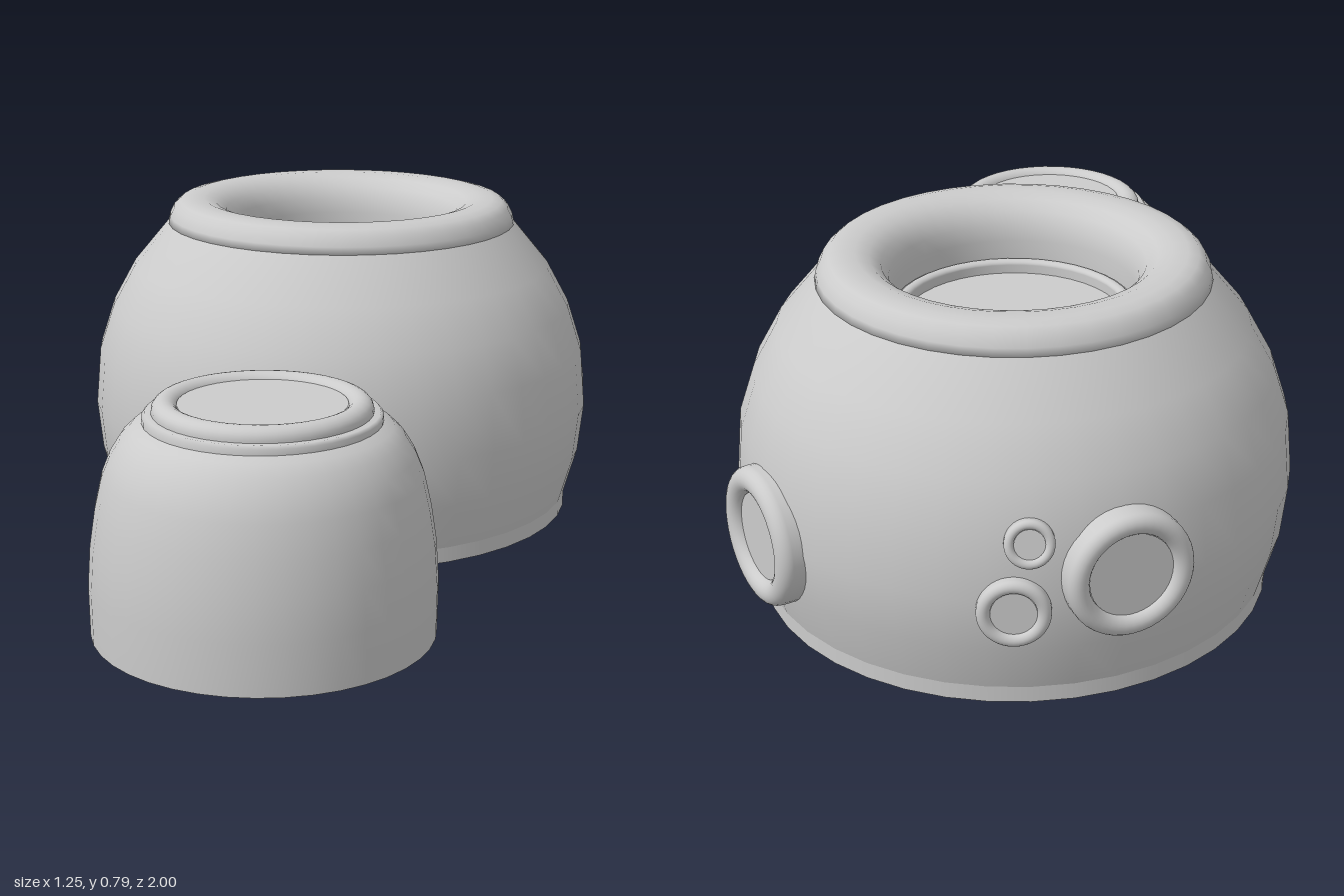
import * as THREE from 'three';

const material = new THREE.MeshStandardMaterial({ color: 0xcccccc, side: THREE.DoubleSide });

function add(parent, name, geometry) {
  const mesh = new THREE.Mesh(geometry, material);
  mesh.name = name;
  parent.add(mesh);
  return mesh;
}

// Turned part from [radius, height] pairs, listed from the outside bottom up
function turned(points, sides = 40) {
  return new THREE.LatheGeometry(points.map(([r, y]) => new THREE.Vector2(r, y)), sides);
}

// Horizontal disc facing up or down
function disc(radius, y, up = true) {
  return new THREE.CircleGeometry(radius, 40).rotateX(up ? -Math.PI / 2 : Math.PI / 2).translate(0, y, 0);
}

// Half-round rim between two radii with straight skirts down to the given heights
function rim(outer, inner, top, height, outerBottom, innerBottom, steps = 12) {
  const mid = (outer + inner) / 2, half = (outer - inner) / 2;
  const points = [[outer, outerBottom]];
  for (let i = 0; i <= steps; i++) {
    const a = Math.PI * i / steps;
    points.push([mid + half * Math.cos(a), top - height + height * Math.sin(a)]);
  }
  points.push([inner, innerBottom]);
  return turned(points);
}

// Round rimmed window on the main dome; "reach" is the distance of its outer face from the axis
function porthole(dome, name, x, z, y, outer, inner, reach, tilt = 0) {
  const group = new THREE.Group();
  group.name = name;
  const round = (outer - inner) / 2;
  add(group, 'windowRim', rim(outer, inner, 0, round, -0.12, -0.06).rotateX(Math.PI / 2));
  add(group, 'windowPane', disc(inner, -round * 0.75).rotateX(Math.PI / 2));
  const d = Math.hypot(x, z);
  group.position.set(x / d * reach, y, z / d * reach);
  group.rotation.set(-tilt, Math.atan2(x, z), 0, 'YXZ');
  dome.add(group);
}

export function createModel() {
  const model = new THREE.Group();
  model.name = 'domeHabitat';

  // Main dome
  const dome = new THREE.Group();
  dome.name = 'mainDome';
  dome.position.z = -0.355;
  model.add(dome);
  add(dome, 'domeFloor', disc(0.58, 0, false));
  add(dome, 'domeFoot', turned([[0.58, 0], [0.58, 0.037]]));
  add(dome, 'domeWall', turned([[0.58, 0.037], [0.612, 0.15], [0.625, 0.27], [0.613, 0.41],
    [0.577, 0.52], [0.522, 0.62], [0.432, 0.728]]));

  // Rolled rim around the sunken skylight
  add(dome, 'skylightRim', turned([[0.42, 0.725], [0.435, 0.725], [0.431, 0.743], [0.42, 0.765], [0.404, 0.779],
    [0.38, 0.785], [0.345, 0.785], [0.315, 0.775], [0.29, 0.755], [0.274, 0.725], [0.268, 0.69], [0.268, 0.645]]));
  add(dome, 'skylightLip', rim(0.268, 0.242, 0.65, 0.01, 0.62, 0.61));
  add(dome, 'skylightPane', disc(0.245, 0.62));

  // Windows
  porthole(dome, 'sideWindow', 0.525, -0.385, 0.25, 0.155, 0.097, 0.655);
  porthole(dome, 'rearWindow', -0.295, -0.57, 0.315, 0.14, 0.093, 0.655);
  porthole(dome, 'smallWindow', -0.06, -0.63, 0.25, 0.077, 0.048, 0.645);
  porthole(dome, 'smallestWindow', -0.09, -0.61, 0.405, 0.052, 0.032, 0.63, 0.2);

  // Small pod in front
  const pod = new THREE.Group();
  pod.name = 'smallPod';
  pod.position.z = 0.62;
  model.add(pod);
  add(pod, 'podFloor', disc(0.375, 0.015, false));
  add(pod, 'podWall', turned([[0.375, 0.015], [0.377, 0.13], [0.371, 0.22], [0.359, 0.3], [0.343, 0.37],
    [0.325, 0.415], [0.302, 0.452], [0.278, 0.475], [0.25, 0.488]]));
  add(pod, 'podCollar', turned([[0.256, 0.483], [0.256, 0.498], [0.25, 0.505], [0.225, 0.505]]));
  add(pod, 'hatchRim', rim(0.236, 0.18, 0.535, 0.026, 0.5, 0.5));
  add(pod, 'hatchPane', disc(0.182, 0.522));

  // Short passage joining dome and pod
  const passage = add(model, 'passage', turned([[0.16, 0], [0.165, 0.02], [0.165, 0.11], [0.16, 0.118],
    [0.15, 0.12], [0, 0.12]]).rotateX(Math.PI / 2));
  passage.scale.y = 1.2;
  passage.position.set(0, 0.213, 0.168);

  return model;
}
